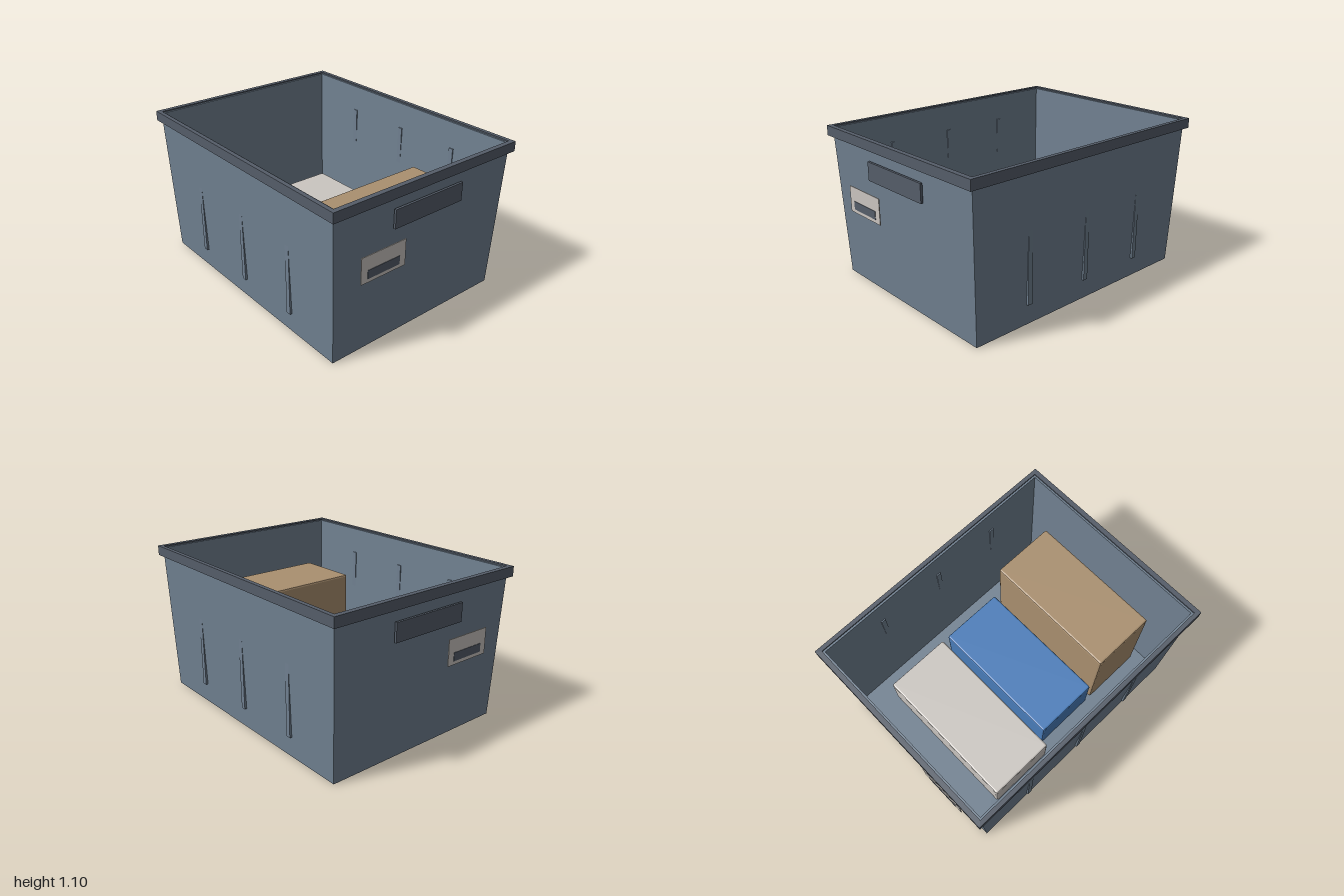
import * as THREE from 'three';
import { RoundedBoxGeometry } from 'three/addons/geometries/RoundedBoxGeometry.js';

const mat = (name, color) => {
  const m = new THREE.MeshStandardMaterial({ color });
  m.name = name;
  return m;
};

// Skin a series of rectangular rings [halfX, halfZ, y]; optional flat caps at both ends
function loftRects(rings, capped) {
  const corners = [[1, 1], [1, -1], [-1, -1], [-1, 1]];
  const pos = [], index = [];
  for (const [hx, hz, y] of rings) for (const [sx, sz] of corners) pos.push(sx * hx, y, sz * hz);
  for (let r = 0; r < rings.length - 1; r++) {
    for (let i = 0; i < 4; i++) {
      const a = r * 4 + i, b = r * 4 + (i + 1) % 4;
      index.push(a, b, b + 4, a, b + 4, a + 4);
    }
  }
  if (capped) {
    const t = (rings.length - 1) * 4;
    index.push(0, 2, 1, 0, 3, 2, t, t + 1, t + 2, t, t + 2, t + 3);
  }
  const indexed = new THREE.BufferGeometry();
  indexed.setAttribute('position', new THREE.Float32BufferAttribute(pos, 3));
  indexed.setIndex(index);
  const g = indexed.toNonIndexed();
  g.computeVertexNormals();
  return g;
}

export function createModel() {
  const model = new THREE.Group();
  model.name = 'storageBin';
  const slate = mat('slate plastic', 0x708090);
  const dark = mat('dark trim', 0x555d69);
  const pale = mat('pale card', 0xcbc6c1);
  const blue = mat('blue box', 0x4a7dba);
  const tan = mat('tan box', 0xaa9070);

  const add = (name, geometry, material, x = 0, y = 0, z = 0) => {
    const mesh = new THREE.Mesh(geometry, material);
    mesh.name = name;
    mesh.position.set(x, y, z);
    model.add(mesh);
    return mesh;
  };

  // Tapered open tub: outer wall, top edge, inner wall, floor
  add('tub', loftRects([
    [0.715, 0.93, 0], [0.75, 0.97, 1.085], [0.731, 0.952, 1.085], [0.7, 0.918, 0.04],
  ], true), slate);

  // Rim band round the top
  add('rim', loftRects([
    [0.745, 0.965, 1.025], [0.775, 1, 1.025], [0.775, 1, 1.095], [0.745, 0.965, 1.095], [0.745, 0.965, 1.025],
  ], false), dark);

  // Grip, label card and label slot on both ends
  for (const [end, s] of [['front', 1], ['back', -1]]) {
    add(end + 'Handle', new THREE.BoxGeometry(0.58, 0.13, 0.016), dark, 0, 0.88, s * 0.982);
    add(end + 'Label', new THREE.BoxGeometry(0.36, 0.185, 0.006), pale, -0.37, 0.622, s * 0.985);
    add(end + 'LabelSlot', new THREE.BoxGeometry(0.26, 0.06, 0.008), dark, -0.37, 0.585, s * 0.987);
  }

  // Upright ribs let into the long sides
  for (const [side, s] of [['left', 1], ['right', -1]]) {
    for (const z of [-0.51, 0, 0.51]) {
      add(side + 'Rib', new THREE.BoxGeometry(0.019, 0.75, 0.035), slate, s * 0.7265, 0.52, z);
    }
  }

  // Boxes stored inside: x range, z range, top height
  const floor = 0.04;
  for (const [name, x0, x1, z0, z1, top, material] of [
    ['paleBox', -0.6, 0.535, -0.71, -0.2, 0.32, pale],
    ['blueBox', -0.515, 0.515, -0.16, 0.33, 0.37, blue],
    ['tanBox', -0.515, 0.497, 0.37, 0.85, 0.775, tan],
  ]) {
    const g = new RoundedBoxGeometry(x1 - x0, top - floor, z1 - z0, 1, 0.014);
    g.computeVertexNormals();
    add(name, g, material, (x0 + x1) / 2, (top + floor) / 2, (z0 + z1) / 2);
  }
  return model;
}
